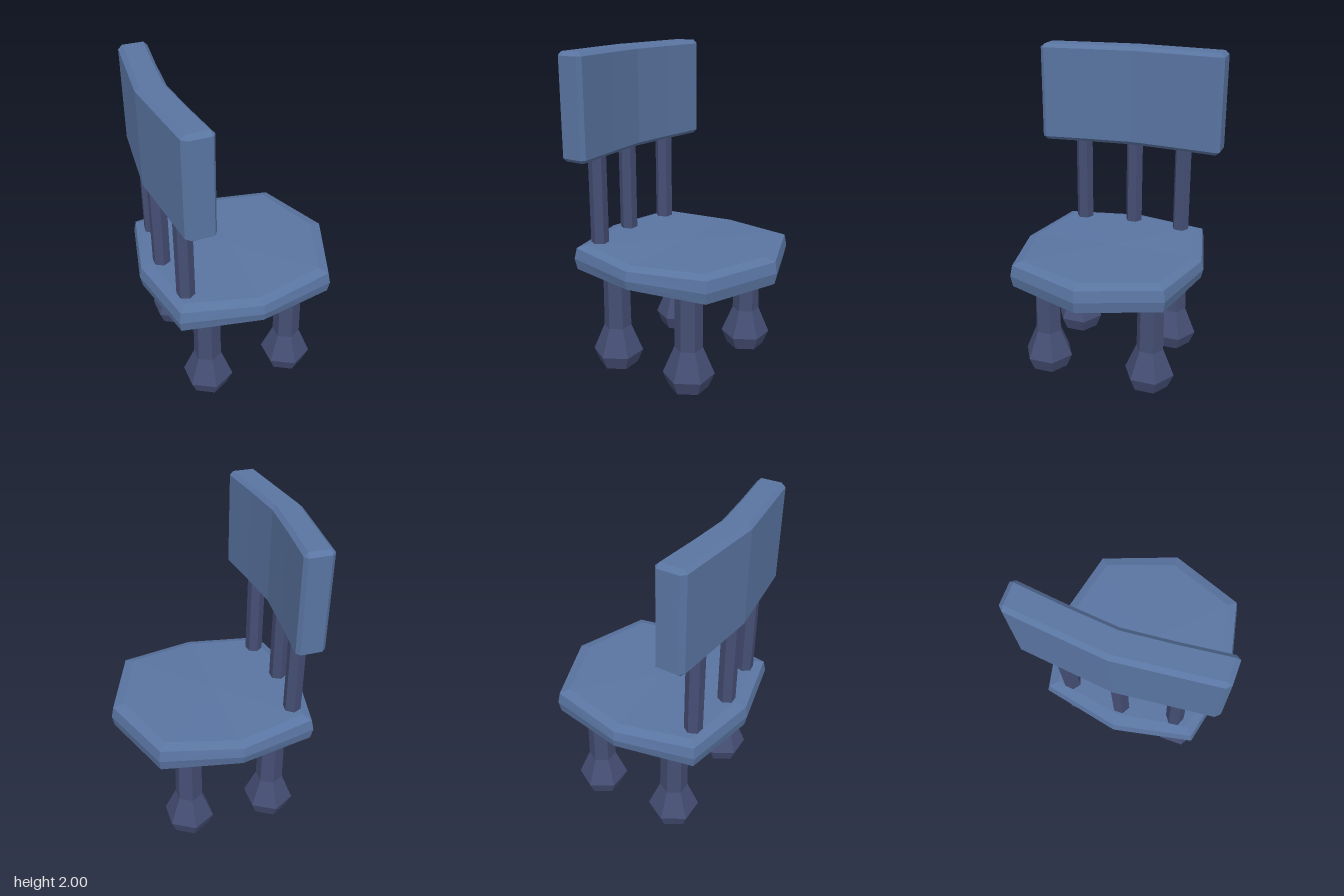
import * as THREE from 'three';

const paintedBlue = new THREE.MeshStandardMaterial({ color: 0x5a75a2 });
paintedBlue.name = 'painted blue';
const darkBlue = new THREE.MeshStandardMaterial({ color: 0x454e74 });
darkBlue.name = 'dark blue';

// Complete an outline of [x, z] points from the half with z >= 0
function mirrorOutline(half) {
  const other = half.filter((p) => p[1] > 0).reverse().map(([x, z]) => [x, -z]);
  return [...half, ...other];
}

// Closed faceted solid through rings of [x, y, z], listed from bottom to top
function loft(rings) {
  const pos = [];
  const tri = (a, b, c) => pos.push(...a, ...b, ...c);
  const centre = (ring) => [0, 1, 2].map((k) => ring.reduce((s, p) => s + p[k], 0) / ring.length);
  const n = rings[0].length;
  const top = rings[rings.length - 1];
  const lowCentre = centre(rings[0]);
  const topCentre = centre(top);
  for (let j = 0; j < n; j++) {
    const k = (j + 1) % n;
    for (let i = 0; i + 1 < rings.length; i++) {
      const lo = rings[i];
      const hi = rings[i + 1];
      tri(lo[j], hi[j], hi[k]);
      tri(lo[j], hi[k], lo[k]);
    }
    tri(lowCentre, rings[0][j], rings[0][k]);
    tri(topCentre, top[k], top[j]);
  }
  const geo = new THREE.BufferGeometry();
  geo.setAttribute('position', new THREE.Float32BufferAttribute(pos, 3));
  geo.computeVertexNormals();
  return geo;
}

function add(parent, name, geometry, material) {
  const mesh = new THREE.Mesh(geometry, material);
  mesh.name = name;
  parent.add(mesh);
  return mesh;
}

// Six-sided turned post from [radius, y] points
function post(profile) {
  const points = profile.map(([r, y]) => new THREE.Vector2(r, y));
  const geo = new THREE.LatheGeometry(points, 6).toNonIndexed();
  geo.computeVertexNormals();
  return geo;
}

// Eight-sided seat slab, slightly thinner at the two side corners
function seatGeometry() {
  const rim = mirrorOutline([[0.63, 0], [0.445, 0.49], [-0.045, 0.6], [-0.535, 0.49], [-0.635, 0]]);
  const face = mirrorOutline([[0.545, 0], [0.39, 0.43], [-0.045, 0.53], [-0.48, 0.43], [-0.55, 0]]);
  const ring = (outline, scale, h) => outline.map(([x, z]) => {
    const thin = Math.abs(z) > 0.5 ? 0.014 * Math.sign(h) : 0;
    return [x * scale, 0.715 + h - thin, z * scale];
  });
  return loft([
    ring(face, 1, -0.09),
    ring(rim, 0.978, -0.07),
    ring(rim, 1, 0),
    ring(rim, 0.978, 0.07),
    ring(face, 1, 0.09),
  ]);
}

// Gently curved back panel with chamfered edges
function backGeometry() {
  const outer = mirrorOutline([
    [-0.386, 0], [-0.36, 0.29], [-0.327, 0.575], [-0.345, 0.602],
    [-0.478, 0.602], [-0.505, 0.575], [-0.535, 0.29], [-0.565, 0],
  ]);
  const inner = mirrorOutline([
    [-0.409, 0], [-0.383, 0.29], [-0.35, 0.575], [-0.35, 0.575],
    [-0.478, 0.575], [-0.478, 0.575], [-0.508, 0.29], [-0.538, 0],
  ]);
  const ring = (outline, y) => outline.map(([x, z]) => [x, y, z]);
  return loft([ring(inner, 1.365), ring(outer, 1.388), ring(outer, 1.977), ring(inner, 2)]);
}

export function createModel() {
  const chair = new THREE.Group();
  chair.name = 'chair';

  add(chair, 'seat', seatGeometry(), paintedBlue);
  add(chair, 'backrest', backGeometry(), paintedBlue);

  // Three spindles following the curve of the backrest
  const spindle = post([[0, 0.78], [0.056, 0.78], [0.056, 1.39], [0, 1.39]]);
  for (const side of [-1, 0, 1]) {
    const mesh = add(chair, 'spindle', spindle, darkBlue);
    mesh.position.set(side ? -0.445 : -0.487, 0, side * 0.345);
    mesh.rotation.y = side * 0.12;
  }

  // Four legs with bulbous feet
  const leg = post([[0, 0], [0.122, 0], [0.16, 0.09], [0.087, 0.265], [0.083, 0.66], [0, 0.66]]);
  for (const x of [-0.32, 0.23]) {
    for (const z of [-0.345, 0.345]) {
      add(chair, 'leg', leg, darkBlue).position.set(x, 0, z);
    }
  }
  return chair;
}
